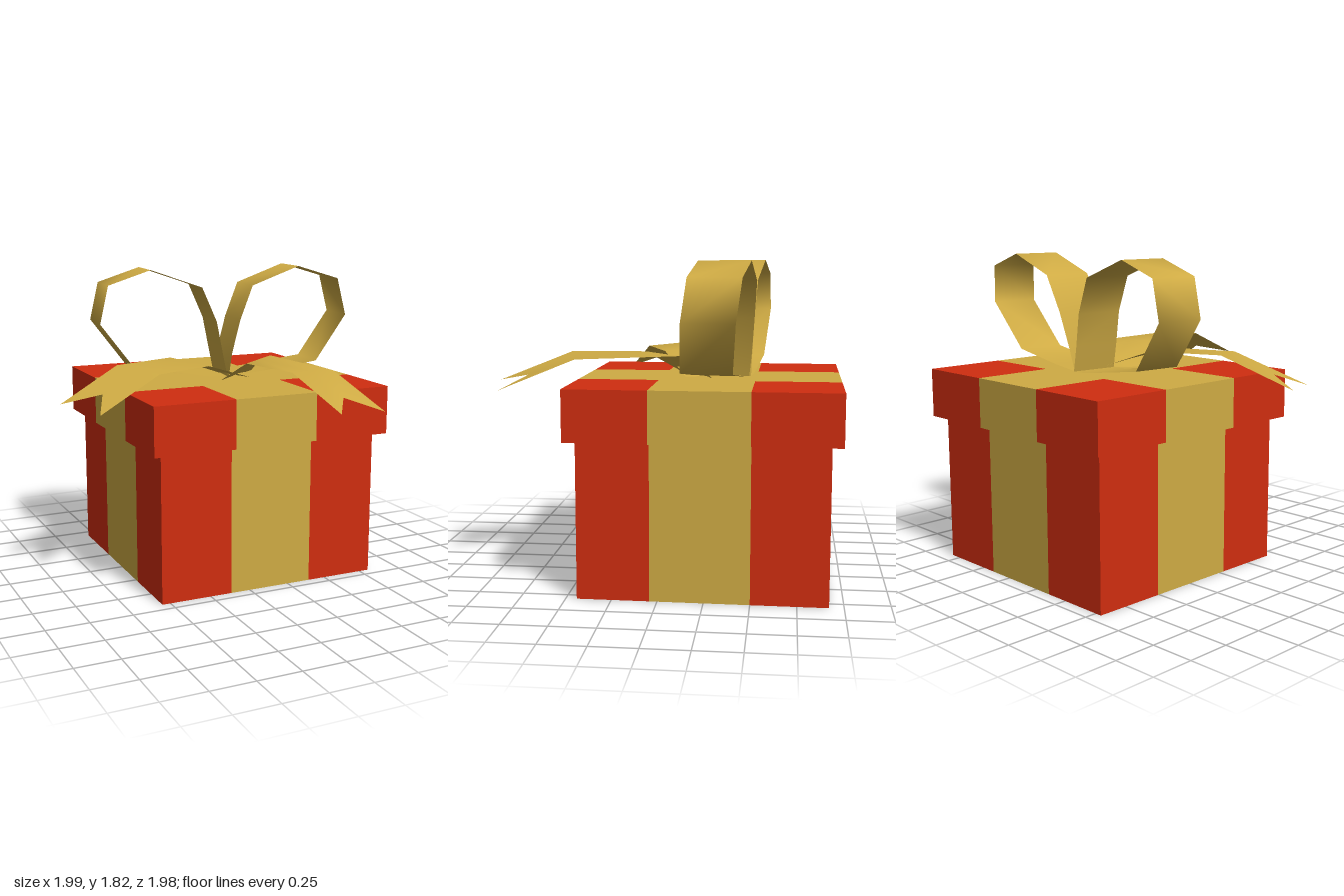
import * as THREE from 'three';

const red = new THREE.MeshStandardMaterial({ color: 0xd02d10 });
red.name = 'red paper';
const gold = new THREE.MeshStandardMaterial({ color: 0xcfab44, side: THREE.DoubleSide });
gold.name = 'gold ribbon';

// Stripe edges, measured from the box centre
const STRIPE_X = [-0.25, 0.262];
const STRIPE_Z = [-0.26, 0.282];

// Box split 3 x 3, with the middle strips in gold
function stripedBox(name, size, y0, y1) {
  const geo = new THREE.BoxGeometry(size, y1 - y0, size, 3, 1, 3);
  const pos = geo.attributes.position;
  const move = (v, s) => (Math.abs(v) > size / 3 ? v : v < 0 ? s[0] : s[1]);
  for (let i = 0; i < pos.count; i++) {
    pos.setX(i, move(pos.getX(i), STRIPE_X));
    pos.setZ(i, move(pos.getZ(i), STRIPE_Z));
  }
  geo.clearGroups();
  const inside = (v, s) => v > s[0] && v < s[1];
  for (let i = 0; i < geo.index.count; i += 6) {
    let x = 0, z = 0;
    for (let k = 0; k < 6; k++) {
      x += pos.getX(geo.index.getX(i + k)) / 6;
      z += pos.getZ(geo.index.getX(i + k)) / 6;
    }
    geo.addGroup(i, 6, inside(x, STRIPE_X) || inside(z, STRIPE_Z) ? 1 : 0);
  }
  const mesh = new THREE.Mesh(geo, [red, gold]);
  mesh.name = name;
  mesh.position.y = (y0 + y1) / 2;
  return mesh;
}

// Smooth sheet through rows of points
function sheet(name, rows) {
  const n = rows[0].length, index = [];
  for (let r = 0; r < rows.length - 1; r++) {
    for (let c = 0; c < n - 1; c++) {
      const a = r * n + c;
      index.push(a, a + 1, a + n, a + 1, a + n + 1, a + n);
    }
  }
  const geo = new THREE.BufferGeometry();
  geo.setAttribute('position', new THREE.Float32BufferAttribute(rows.flat(2), 3));
  geo.setIndex(index);
  geo.computeVertexNormals();
  const mesh = new THREE.Mesh(geo, gold);
  mesh.name = name;
  return mesh;
}

// Bow loop: a centre line widened towards the back
function bowLoop(name, path) {
  return sheet(name, path.map(([x, y, z]) => [
    [x - 0.016, y, z + 0.142], [x + 0.016, y, z - 0.142],
  ]));
}

// Ribbon tail: pairs of edge points, ending in a swallowtail notch
function tail(name, pairs, notch) {
  const rows = pairs.map(([a, b]) => [a, a.map((v, i) => (v + b[i]) / 2), b]);
  rows[rows.length - 1][1] = notch;
  return sheet(name, rows);
}

export function createModel() {
  const model = new THREE.Group();
  model.name = 'giftBox';

  // Box and lid, turned very slightly
  const box = new THREE.Group();
  box.name = 'box';
  box.position.set(0.135, 0, -0.245);
  box.rotation.y = -0.007;
  box.add(stripedBox('body', 1.36, 0, 0.87), stripedBox('lid', 1.48, 0.87, 1.155));
  model.add(box);

  // Two loops of the bow
  model.add(bowLoop('leftLoop', [
    [0.17, 1.16, -0.32], [0.2, 1.3, -0.335], [0.262, 1.5, -0.35], [0.355, 1.71, -0.365],
    [0.665, 1.822, -0.345], [0.932, 1.74, -0.31], [0.976, 1.51, -0.28],
    [0.75, 1.23, -0.255], [0.37, 1.18, -0.3], [0.17, 1.16, -0.32],
  ]));
  model.add(bowLoop('rightLoop', [
    [0.165, 1.16, -0.33], [0.137, 1.3, -0.335], [0.1, 1.5, -0.345], [0.01, 1.71, -0.36],
    [-0.31, 1.822, -0.395], [-0.57, 1.737, -0.42], [-0.622, 1.51, -0.425],
    [-0.415, 1.23, -0.39], [0.05, 1.165, -0.345], [0.165, 1.16, -0.33],
  ]));

  // Two tails lying over the lid
  model.add(tail('sideTail', [
    [[0.16, 1.16, -0.33], [0.26, 1.16, -0.1]],
    [[-0.21, 1.293, -0.24], [-0.09, 1.275, 0.06]],
    [[-0.61, 1.295, -0.085], [-0.46, 1.275, 0.205]],
    [[-1, 1.125, 0.07], [-0.87, 1.105, 0.37]],
  ], [-0.785, 1.18, 0.165]));
  model.add(tail('frontTail', [
    [[0.16, 1.16, -0.22], [0.34, 1.16, -0.26]],
    [[0.05, 1.16, -0.07], [0.36, 1.25, -0.17]],
    [[0.11, 1.29, 0.15], [0.39, 1.29, -0.08]],
    [[0.185, 1.295, 0.57], [0.495, 1.275, 0.5]],
    [[0.255, 1.13, 0.985], [0.573, 1.105, 0.92]],
  ], [0.385, 1.175, 0.79]));

  return model;
}
